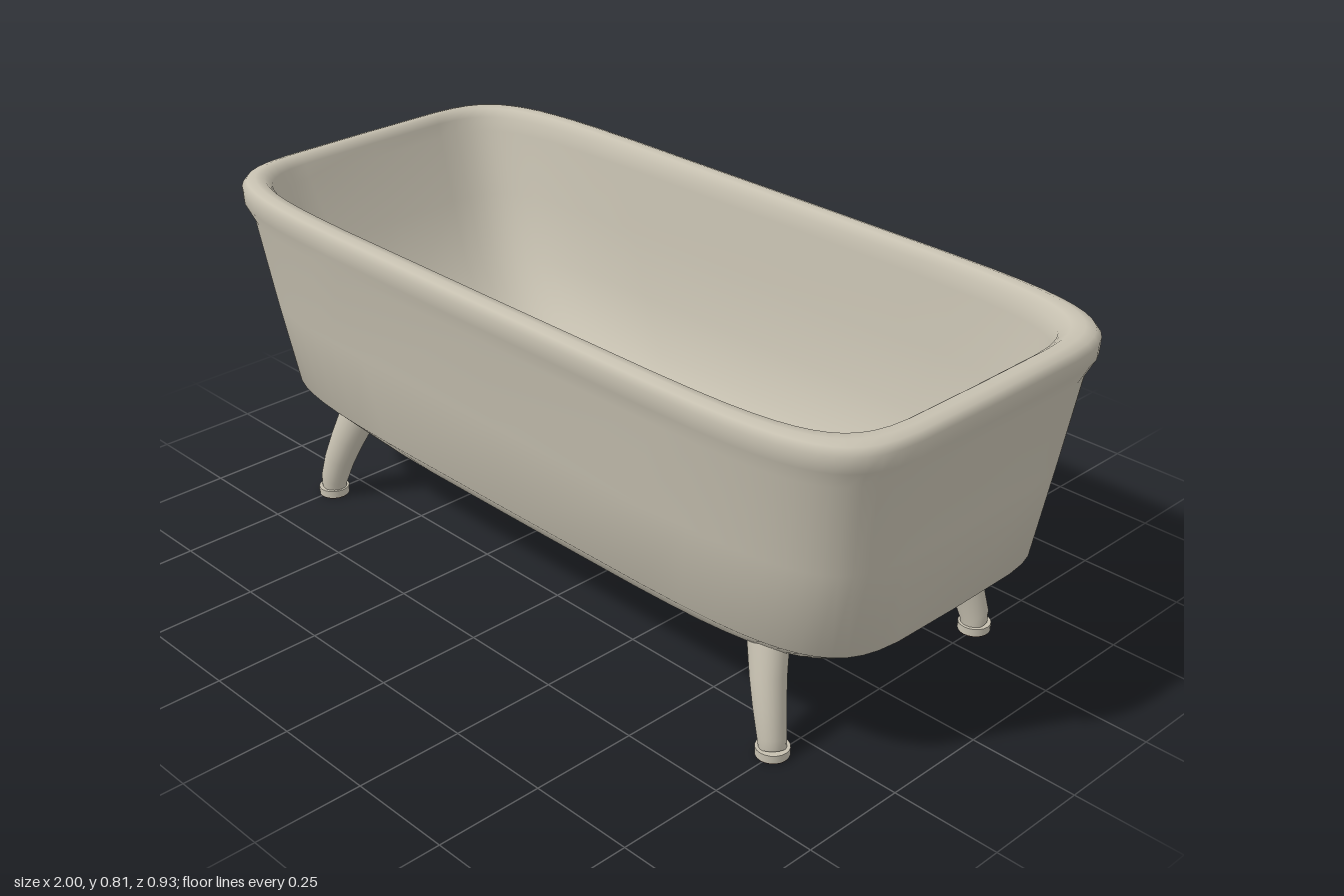
import * as THREE from 'three';

const enamel = new THREE.MeshStandardMaterial({ color: 0xc6c0b0 });
enamel.name = 'warm enamel';
const bronze = new THREE.MeshStandardMaterial({ color: 0x5c3625 });
bronze.name = 'dark bronze';

const SEGMENTS = 56;

// Skin a stack of closed loops; each loop is a function of angle giving [x, y, z]
function loft(loops, segments = SEGMENTS) {
  const positions = [], index = [];
  loops.forEach((loop, r) => {
    for (let i = 0; i < segments; i++) {
      positions.push(...loop((i / segments) * Math.PI * 2));
      if (r === loops.length - 1) continue;
      const a = r * segments + i, b = r * segments + ((i + 1) % segments);
      index.push(a, a + segments, b, b, a + segments, b + segments);
    }
  });
  const geometry = new THREE.BufferGeometry();
  geometry.setAttribute('position', new THREE.Float32BufferAttribute(positions, 3));
  geometry.setIndex(index);
  geometry.computeVertexNormals();
  return geometry;
}

// Rounded rectangle loop: height, centre x, half length, half width, squareness
function tubLoop([y, cx, a, b, n]) {
  const power = (v) => Math.sign(v) * Math.abs(v) ** (2 / n);
  return (t) => [cx + a * power(Math.cos(t)), y, b * power(Math.sin(t))];
}

// Tilted circular loop for the splayed legs
function legLoop([x, y, z, r], sx, sz) {
  return (t) => {
    const dx = r * Math.cos(t), dz = r * Math.sin(t);
    return [sx * x + dx, y + 0.28 * sx * dx + 0.22 * sz * dz, sz * z + dz];
  };
}

function addMesh(parent, name, geometry, material, x = 0, y = 0, z = 0) {
  const mesh = new THREE.Mesh(geometry, material);
  mesh.name = name;
  mesh.position.set(x, y, z);
  parent.add(mesh);
  return mesh;
}

export function createModel() {
  const group = new THREE.Group();
  group.name = 'bathtub';

  // Shell: up the outside, over the rolled rim, down the inside
  const base = [0.215, 0, 0.84, 0.33, 4.8];
  const floor = [0.25, 0.13, 0.585, 0.225, 4];
  const shell = [
    base,
    [0.29, 0, 0.93, 0.398, 5.5],
    [0.5, 0, 0.955, 0.425, 6],
    [0.71, 0, 0.98, 0.448, 6.5],
    [0.75, 0, 0.998, 0.464, 6.5],
    [0.785, 0, 1, 0.465, 6.5],
    [0.8, 0, 0.99, 0.456, 6.5],
    [0.806, 0, 0.972, 0.44, 6.5],
    [0.803, -0.005, 0.952, 0.42, 6.5],
    [0.785, -0.01, 0.935, 0.405, 6.5],
    [0.75, -0.01, 0.928, 0.4, 6.5],
    [0.6, 0.012, 0.885, 0.385, 6],
    [0.45, 0.035, 0.835, 0.362, 5.5],
    [0.34, 0.07, 0.755, 0.322, 5],
    [0.28, 0.1, 0.675, 0.275, 4.5],
    floor,
  ];
  addMesh(group, 'shell', loft(shell.map(tubLoop)), enamel);

  // Flat underside and flat inner floor
  addMesh(group, 'underside', loft([tubLoop([0.215, 0, 0, 0, 4]), tubLoop(base)]), enamel);
  addMesh(group, 'innerFloor', loft([tubLoop(floor), tubLoop([0.25, 0.13, 0, 0, 4])]), enamel);

  // Drain ring in the floor
  const ring = new THREE.RingGeometry(0.04, 0.08, 32).rotateX(-Math.PI / 2);
  addMesh(group, 'drainRing', ring, bronze, 0.53, 0.254, 0);

  // Overflow plate on the end wall
  const plate = new THREE.CylinderGeometry(0.042, 0.042, 0.024, 24).rotateZ(Math.PI / 2);
  addMesh(group, 'overflowPlate', plate, enamel, 0.902, 0.69, 0);

  // Four splayed legs: centre x, y, z and radius from foot to top
  const legPath = [
    [0.745, 0.015, 0.331, 0.029],
    [0.742, 0.04, 0.331, 0.031],
    [0.725, 0.1, 0.322, 0.035],
    [0.705, 0.16, 0.307, 0.039],
    [0.682, 0.228, 0.285, 0.044],
  ];
  for (const sx of [1, -1]) {
    for (const sz of [1, -1]) {
      const leg = new THREE.Group();
      leg.name = (sz > 0 ? 'front' : 'back') + (sx > 0 ? 'Left' : 'Right') + 'Leg';
      addMesh(leg, 'shaft', loft(legPath.map((p) => legLoop(p, sx, sz)), 20), enamel);
      const cap = [[0.682, 0.228, 0.285, 0.044], [0.682, 0.228, 0.285, 0]];
      addMesh(leg, 'shaftTop', loft(cap.map((p) => legLoop(p, sx, sz)), 20), enamel);
      const x = sx * 0.745, z = sz * 0.331;
      addMesh(leg, 'foot', new THREE.CylinderGeometry(0.037, 0.037, 0.018, 20), enamel, x, 0.011, z);
      addMesh(leg, 'footPad', new THREE.CylinderGeometry(0.036, 0.036, 0.004, 20), bronze, x, 0.002, z);
      group.add(leg);
    }
  }
  return group;
}
